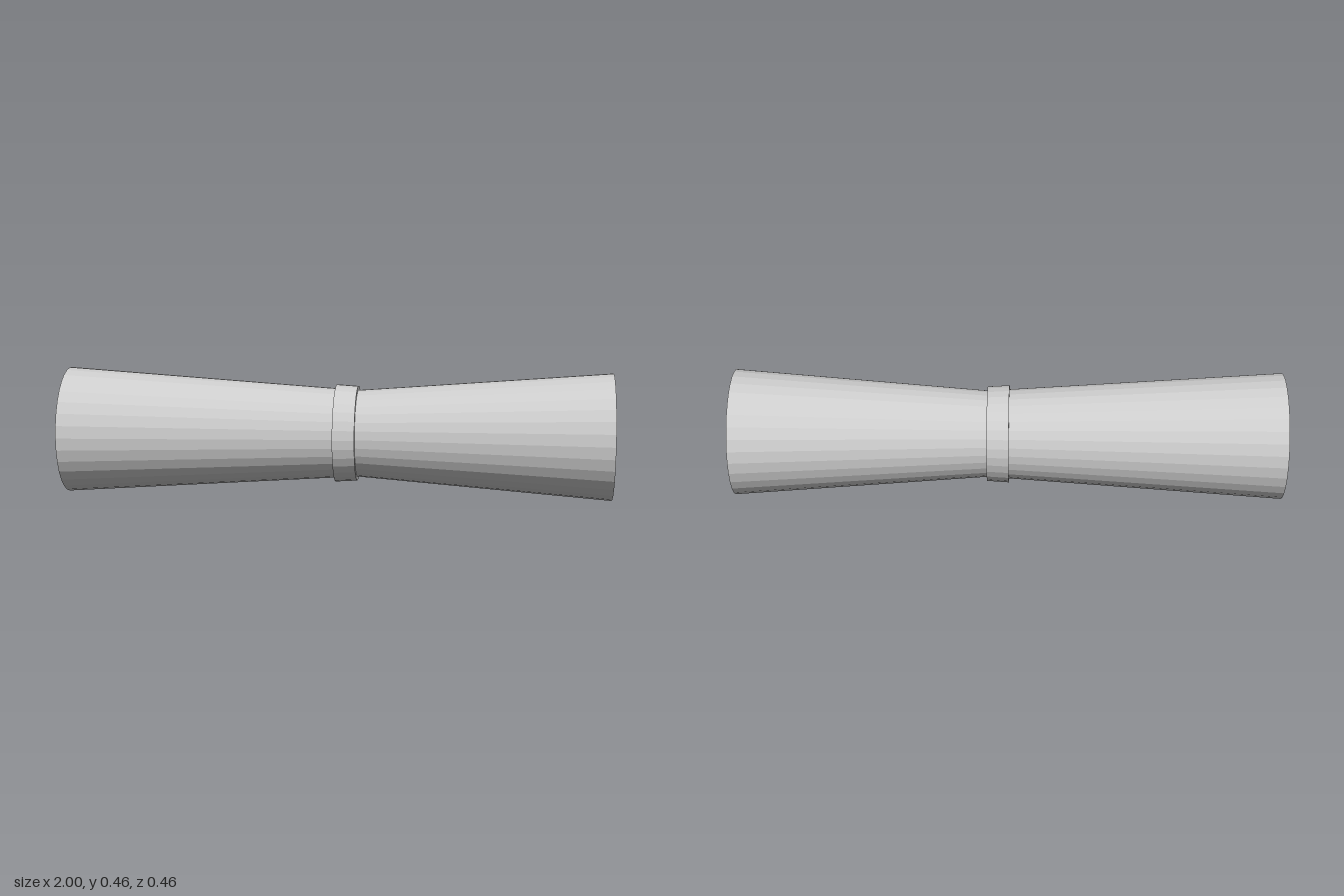
import * as THREE from 'three';

const SIDES = 32;
const AXIS_Y = 0.232;

// Turns a closed [x, radius] profile around the horizontal x axis, with flat facets
function turned(name, profile) {
  const points = profile.map(([x, r]) => new THREE.Vector2(r, x));
  const geometry = new THREE.LatheGeometry(points, SIDES);
  geometry.rotateZ(-Math.PI / 2);
  const material = new THREE.MeshStandardMaterial({
    color: 0xcccccc, flatShading: true, side: THREE.DoubleSide,
  });
  const mesh = new THREE.Mesh(geometry, material);
  mesh.name = name;
  mesh.position.y = AXIS_Y;
  return mesh;
}

export function createModel() {
  const group = new THREE.Group();
  group.name = 'doubleFlaredTube';

  // Flared body: recessed floor, tapered cup wall and flat rim at both ends
  group.add(turned('flaredBody', [
    [-0.87, 0], [-0.87, 0.173], [-1, 0.2], [-1, 0.231],
    [0.075, 0.159],
    [1, 0.231], [1, 0.2], [0.87, 0.173], [0.87, 0],
  ]));

  // Slightly tapered collar around the waist
  group.add(turned('waistCollar', [
    [-0.004, 0.155], [-0.004, 0.179], [0.076, 0.174], [0.076, 0.155],
  ]));

  return group;
}
